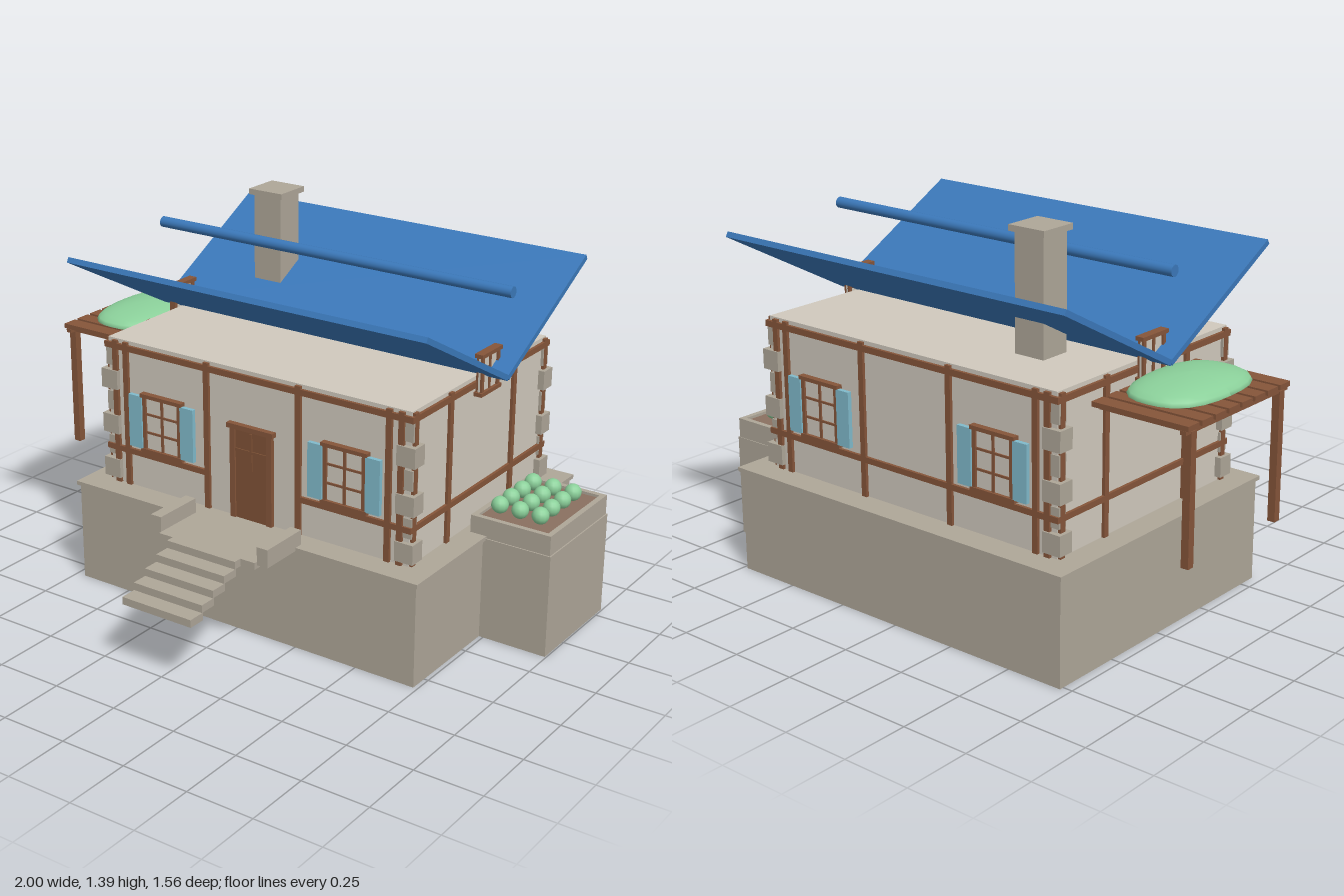
import * as THREE from 'three';

const mat = (name, color) => {
  const m = new THREE.MeshStandardMaterial({ color });
  m.name = name;
  return m;
};
const M = {
  stone: mat('stone', 0xaea698),
  wall: mat('plaster', 0xd0c9bd),
  wood: mat('timber', 0x85553a),
  door: mat('doorWood', 0x7f5236),
  roof: mat('blueRoof', 0x3b78b9),
  shutter: mat('shutterBlue', 0x80bacb),
  leaf: mat('foliage', 0x8bd09a),
  soil: mat('soil', 0x8a7060),
};

// Centre of the house, and half sizes of its walls
const CX = 0.01, CZ = -0.223, HX = 0.64, HZ = 0.455, FLOOR = 0.39, EAVE = 0.945;

// Box given by its lower and upper limits
function box(parent, name, material, x0, x1, y0, y1, z0, z1) {
  const mesh = new THREE.Mesh(new THREE.BoxGeometry(x1 - x0, y1 - y0, z1 - z0), material);
  mesh.position.set((x0 + x1) / 2, (y0 + y1) / 2, (z0 + z1) / 2);
  mesh.name = name;
  parent.add(mesh);
}

function group(parent, name) {
  const g = new THREE.Group();
  g.name = name;
  parent.add(g);
  return g;
}

// Framed opening facing +z, centred on its own origin
function framedWindow(w, h, rows, shutters) {
  const g = new THREE.Group();
  g.name = 'window';
  const t = 0.014, x = w / 2, y = h / 2;
  box(g, 'pane', M.wall, -x, x, -y, y, -0.004, 0.004);
  for (const s of [-1, 1]) {
    box(g, 'jamb', M.wood, s * (x - t / 2) - t / 2, s * (x - t / 2) + t / 2, -y, y, -0.012, 0.012);
    box(g, 'rail', M.wood, -x - 0.008, x + 0.008, s * y - 0.007, s * y + 0.007, -0.016, 0.016);
    if (shutters) {
      const c = s * (x + 0.031);
      box(g, 'shutter', M.shutter, c - 0.029, c + 0.029, -y + 0.005, y - 0.005, 0, 0.016);
    }
  }
  box(g, 'mullion', M.wood, -0.005, 0.005, -y, y, -0.009, 0.009);
  for (let i = 1; i < rows; i++) {
    const c = -y + (h * i) / rows;
    box(g, 'glazingBar', M.wood, -x, x, c - 0.004, c + 0.004, -0.009, 0.009);
  }
  return g;
}

function buildBase(root) {
  const g = group(root, 'base');
  box(g, 'foundation', M.stone, -0.714, 0.734, 0, 0.38, -0.766, 0.32);
  box(g, 'terraceSlab', M.stone, -0.724, 0.744, 0.375, FLOOR, -0.776, 0.33);
  box(g, 'sideFoundation', M.stone, 0.72, 0.995, 0, 0.382, -0.55, -0.12);

  // Planter with rows of round shrubs
  const p = group(g, 'planter');
  box(p, 'planterBody', M.stone, 0.68, 0.99, 0.382, 0.435, -0.547, -0.125);
  box(p, 'soil', M.soil, 0.7, 0.97, 0.435, 0.445, -0.527, -0.145);
  for (const [x0, x1, z0, z1] of [[0.68, 0.7, -0.547, -0.125], [0.97, 0.99, -0.547, -0.125],
    [0.7, 0.97, -0.547, -0.527], [0.7, 0.97, -0.145, -0.125]]) {
    box(p, 'planterRim', M.stone, x0, x1, 0.435, 0.455, z0, z1);
  }
  const ball = new THREE.SphereGeometry(0.031, 12, 9);
  for (let i = 0; i < 3; i++) {
    for (let j = 0; j < 4; j++) {
      const shrub = new THREE.Mesh(ball, M.leaf);
      shrub.name = 'shrub';
      shrub.position.set(0.745 + i * 0.079, 0.478, -0.212 - j * 0.08);
      p.add(shrub);
    }
  }

  // Landing, its low walls and the floating steps
  const s = group(g, 'entrySteps');
  box(s, 'landing', M.stone, -0.195, 0.215, 0.365, FLOOR, 0.3, 0.505);
  for (const m of [-1, 1]) {
    const c = CX + m * 0.227;
    box(s, 'landingWall', M.stone, c - 0.022, c + 0.022, 0.378, 0.445, 0.297, 0.493);
  }
  for (let i = 0; i < 5; i++) {
    const y = 0.248 + i * 0.0285, z = 0.78 - i * 0.061;
    box(s, 'step', M.stone, -0.135, 0.155, y, y + 0.028, z - 0.067, z);
  }
}

function buildWalls(root) {
  const g = group(root, 'house');
  box(g, 'walls', M.wall, CX - HX, CX + HX, FLOOR, EAVE, CZ - HZ, CZ + HZ);
  const t = 0.011;
  for (const s of [-1, 1]) {
    // Timber frame of the front and back
    const z = CZ + s * HZ, x = CX + s * HX;
    for (const px of [-0.605, -0.557, -0.195, 0.195, 0.557, 0.605]) {
      box(g, 'post', M.wood, CX + px - t, CX + px + t, FLOOR, 0.94, z - t, z + t);
    }
    box(g, 'topBeam', M.wood, CX - HX - t, CX + HX + t, 0.908, 0.93, z - t, z + t);
    const spans = s > 0 ? [[-HX, -0.195], [0.195, HX]] : [[-HX, HX]];
    for (const [a, b] of spans) {
      box(g, 'midBeam', M.wood, CX + a, CX + b, 0.515, 0.536, z - t, z + t);
    }
    // Timber frame of the sides
    for (const pz of [-0.44, -0.217, 0.217, 0.44]) {
      box(g, 'post', M.wood, x - t, x + t, FLOOR, 0.94, CZ + pz - t, CZ + pz + t);
    }
    box(g, 'topBeam', M.wood, x - t, x + t, 0.908, 0.93, CZ - HZ - t, CZ + HZ + t);
    box(g, 'midBeam', M.wood, x - t, x + t, 0.515, 0.536, CZ - HZ - t, CZ + HZ + t);

    // Corner stones, alternately large and small
    for (const c of [-1, 1]) {
      for (let i = 0; i < 6; i++) {
        const h = i % 2 ? 0.021 : 0.036, y = 0.443 + i * 0.0865;
        const qx = CX + c * (HX - 0.012), qz = CZ + s * (HZ - 0.014);
        box(g, 'cornerStone', M.stone, qx - h, qx + h, y - 0.036, y + 0.036, qz - h * 0.85, qz + h * 0.85);
      }
    }

    // Shuttered windows on the front and back
    for (const c of [-1, 1]) {
      const w = framedWindow(0.17, 0.21, 3, true);
      w.position.set(CX + c * 0.39, 0.655, z + s * 0.008);
      if (s < 0) w.rotation.y = Math.PI;
      g.add(w);
    }

    // Small gable windows
    const gw = framedWindow(0.12, 0.138, 2, false);
    gw.name = 'gableWindow';
    gw.position.set(CX + s * 0.66, 0.955, CZ);
    gw.rotation.y = (s * Math.PI) / 2;
    g.add(gw);
  }

  // Front door
  const d = group(g, 'frontDoor'), z = CZ + HZ;
  box(d, 'doorPanel', M.door, CX - 0.075, CX + 0.075, FLOOR, 0.73, z, z + 0.01);
  for (const s of [-1, 1]) {
    const c = CX + s * 0.078;
    box(d, 'doorJamb', M.wood, c - 0.011, c + 0.011, FLOOR, 0.73, z, z + 0.016);
  }
  box(d, 'doorLintel', M.wood, CX - 0.098, CX + 0.098, 0.728, 0.746, z, z + 0.022);
  box(d, 'doorBrace', M.door, CX - 0.067, CX + 0.067, 0.645, 0.655, z + 0.01, z + 0.014);
  box(d, 'doorBrace', M.door, CX - 0.005, CX + 0.005, 0.58, 0.72, z + 0.01, z + 0.014);
}

function buildRoof(root) {
  const g = group(root, 'roof');
  // Two panels rising outward from a central valley
  const rise = 0.292, run = 0.543, len = Math.hypot(rise, run);
  for (const s of [-1, 1]) {
    const panel = new THREE.Mesh(new THREE.BoxGeometry(1.478, 0.02, len), M.roof);
    panel.name = 'roofPanel';
    panel.position.set(CX, 0.943 + rise / 2, CZ + (s * run) / 2);
    panel.rotation.x = -s * Math.atan2(rise, run);
    g.add(panel);
  }
  const ridge = new THREE.Mesh(new THREE.CylinderGeometry(0.02, 0.02, 1.486, 16), M.roof);
  ridge.name = 'ridgePole';
  ridge.rotation.z = Math.PI / 2;
  ridge.position.set(CX, 1.248, CZ);
  g.add(ridge);

  const c = group(root, 'chimney');
  box(c, 'chimneyStack', M.stone, -0.43, -0.312, 0.96, 1.367, -0.503, -0.386);
  box(c, 'chimneyCap', M.stone, -0.444, -0.298, 1.365, 1.386, -0.517, -0.373);
}

function buildPergola(root) {
  const g = group(root, 'pergola');
  for (const z of [-0.47, 0.02]) {
    box(g, 'pergolaPost', M.wood, -0.993, -0.965, 0.39, 0.845, z - 0.014, z + 0.014);
    box(g, 'pergolaBeam', M.wood, -0.985, -0.64, 0.838, 0.852, z - 0.012, z + 0.012);
  }
  box(g, 'pergolaBeam', M.wood, -0.99, -0.968, 0.838, 0.852, -0.51, 0.055);
  box(g, 'pergolaDeck', M.wood, -0.985, -0.63, 0.85, 0.857, -0.505, 0.05);
  for (let i = 0; i < 8; i++) {
    const z = -0.482 + i * 0.0725;
    box(g, 'slat', M.wood, -1, -0.63, 0.853, 0.87, z - 0.029, z + 0.029);
  }
  // Flat mound of climbing leaves, squared off in plan away from the poles
  const geo = new THREE.SphereGeometry(1, 24, 12);
  const p = geo.attributes.position;
  for (let i = 0; i < p.count; i++) {
    const x = p.getX(i), y = p.getY(i), z = p.getZ(i), r = Math.hypot(x, z);
    const k = r < 1e-6 ? 1 : r / Math.pow(Math.abs(x) ** 2.6 + Math.abs(z) ** 2.6, 1 / 2.6);
    p.setXYZ(i, x * k * 0.155, y * (y > 0 ? 0.05 : 0.012), z * k * 0.233);
  }
  geo.computeVertexNormals();
  const vine = new THREE.Mesh(geo, M.leaf);
  vine.name = 'vine';
  vine.position.set(-0.8, 0.882, -0.22);
  g.add(vine);
}

export function createModel() {
  const root = new THREE.Group();
  root.name = 'cottage';
  buildBase(root);
  buildWalls(root);
  buildRoof(root);
  buildPergola(root);
  return root;
}
